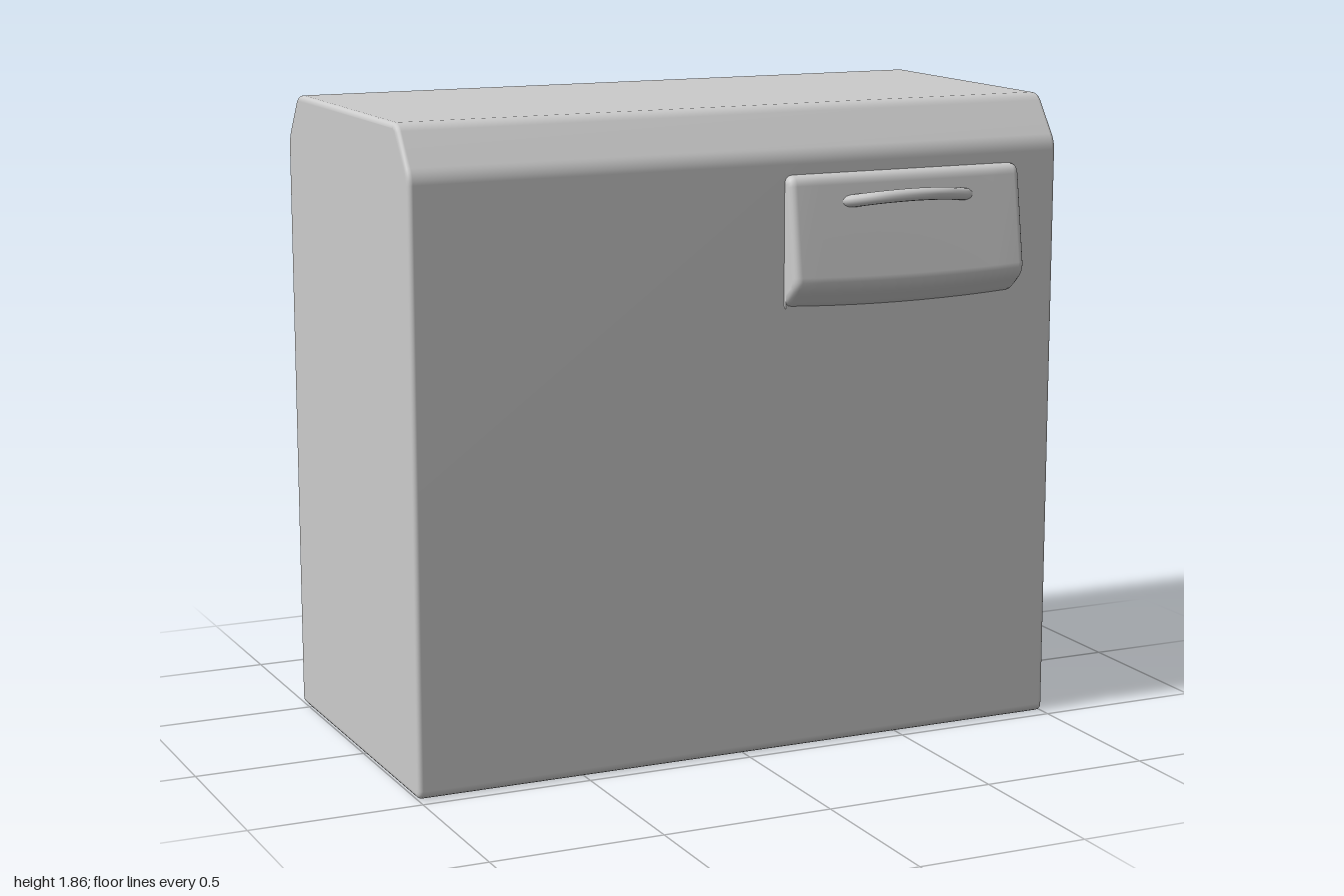
import * as THREE from 'three';
import { mergeVertices } from 'three/addons/utils/BufferGeometryUtils.js';

const material = new THREE.MeshStandardMaterial({ color: 0xcccccc });

// Closed [z, y] profile whose corners are rounded by radius r
function roundedProfile(points, r) {
  const pts = points.map(([z, y]) => new THREE.Vector2(z, y));
  const shape = new THREE.Shape();
  pts.forEach((p, i) => {
    const prev = pts[(i + pts.length - 1) % pts.length];
    const next = pts[(i + 1) % pts.length];
    const a = p.clone().add(prev.clone().sub(p).setLength(r));
    const b = p.clone().add(next.clone().sub(p).setLength(r));
    if (i === 0) shape.moveTo(a.x, a.y);
    else shape.lineTo(a.x, a.y);
    shape.quadraticCurveTo(p.x, p.y, b.x, b.y);
  });
  shape.closePath();
  return shape;
}

// Area-weighted smooth normals keep broad faces flat and soften the bevels
function smooth(geometry) {
  geometry.deleteAttribute('normal');
  geometry.deleteAttribute('uv');
  const merged = mergeVertices(geometry, 1e-4);
  merged.computeVertexNormals();
  return merged;
}

// Side profile swept along x, centred on x = 0, with rounded ends
function sweepAcross(points, width, radius, bevel, steps) {
  const geometry = new THREE.ExtrudeGeometry(roundedProfile(points, radius), {
    depth: width - 2 * bevel, steps, curveSegments: 4,
    bevelThickness: bevel, bevelSize: bevel, bevelOffset: -bevel, bevelSegments: 4,
  });
  geometry.translate(0, 0, bevel - width / 2 - bevel + bevel - bevel + bevel);
  geometry.rotateY(-Math.PI / 2);
  return geometry;
}

function addMesh(parent, name, geometry) {
  const mesh = new THREE.Mesh(geometry, material);
  mesh.name = name;
  parent.add(mesh);
  return mesh;
}

export function createModel() {
  const model = new THREE.Group();
  model.name = 'cabinet';

  // Main case with sloped upper front and back edges
  const caseProfile = [
    [-0.565, 0.005], [0.467, 0.005], [0.467, 1.735],
    [0.37, 1.867], [-0.475, 1.867], [-0.565, 1.735],
  ];
  addMesh(model, 'case', smooth(sweepAcross(caseProfile, 2, 0.025, 0.014, 1)));

  const latch = new THREE.Group();
  latch.name = 'latch';
  latch.position.x = 0.488;
  model.add(latch);

  // Wedge-shaped latch plate, slightly bowed along its lower edge
  const plateProfile = [
    [0.42, 1.293], [0.474, 1.293], [0.545, 1.36], [0.498, 1.68], [0.42, 1.68],
  ];
  const half = 0.372;
  const plate = sweepAcross(plateProfile, 2 * half, 0.03, 0.022, 10);
  const pos = plate.attributes.position;
  for (let i = 0; i < pos.count; i++) {
    const lower = THREE.MathUtils.clamp((1.68 - pos.getY(i)) / 0.38, 0, 1);
    const end = (pos.getX(i) / half) ** 2;
    pos.setY(i, pos.getY(i) + 0.012 * lower * end);
  }
  addMesh(latch, 'latchPlate', smooth(plate));

  // Curved pull handle, bowed outward and a little upward
  const path = new THREE.CatmullRomCurve3([
    [-0.2, 1.6, 0.495], [-0.17, 1.604, 0.514], [-0.1, 1.613, 0.544],
    [0, 1.617, 0.555], [0.1, 1.613, 0.544], [0.17, 1.604, 0.514], [0.2, 1.6, 0.495],
  ].map((p) => new THREE.Vector3(...p)));
  addMesh(latch, 'pullHandle', new THREE.TubeGeometry(path, 40, 0.018, 12));

  // Rounded ends of the handle
  for (const t of [0, 1]) {
    const end = addMesh(latch, 'handleEnd', new THREE.SphereGeometry(0.018, 12, 8));
    end.position.copy(path.getPoint(t));
  }

  return model;
}
